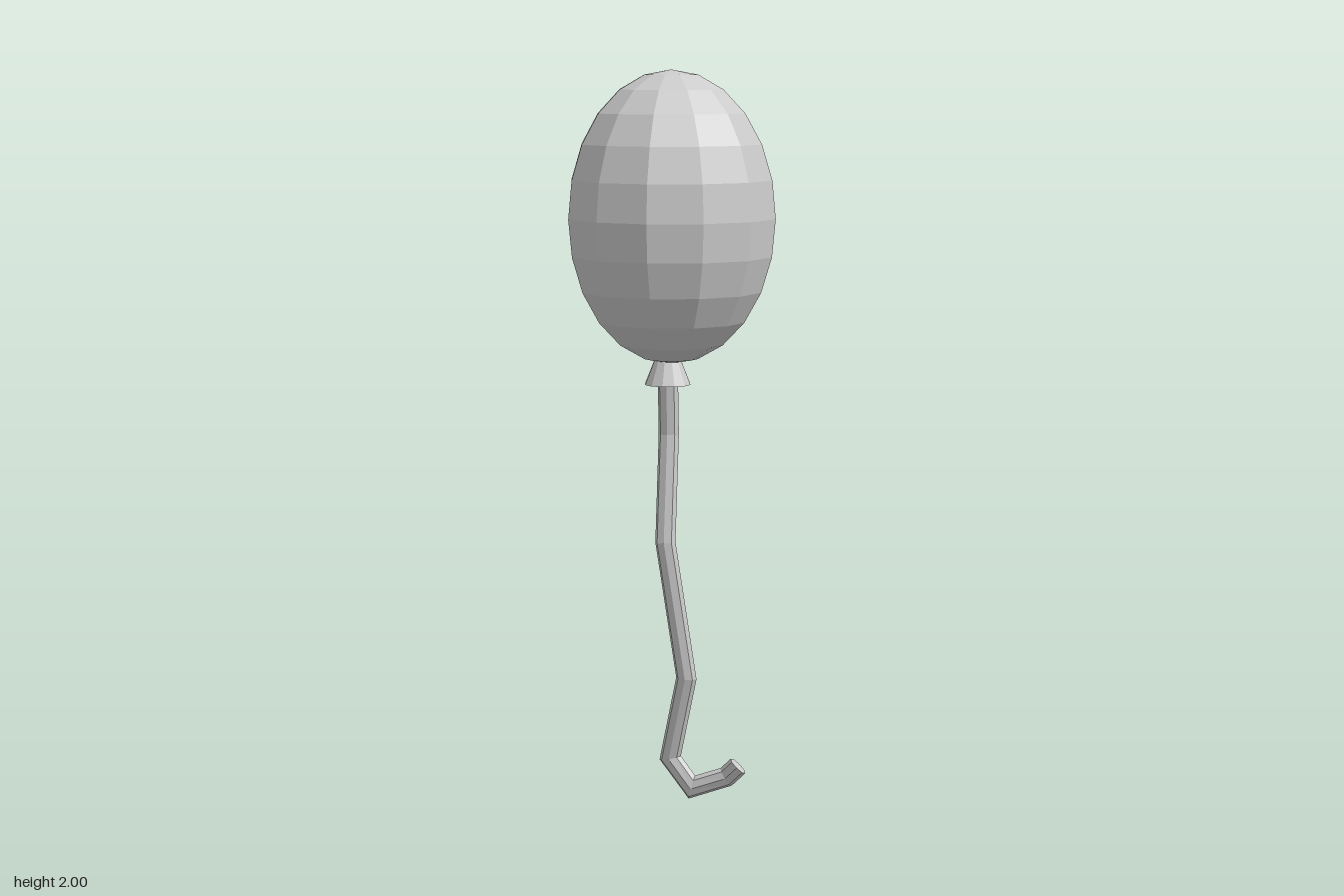
import * as THREE from 'three';

const material = new THREE.MeshStandardMaterial({ color: 0xcccccc, flatShading: true });

// Mitred tube along straight segments: oval section, wide across the path in xy, narrow in z
function makeString(path, halfWidth, halfDepth, sides) {
  const pts = path.map(p => new THREE.Vector3(...p));
  const last = pts.length - 1;
  const flatDir = (a, b) => new THREE.Vector3(b.x - a.x, b.y - a.y, 0).normalize();
  const positions = [], index = [];
  pts.forEach((p, i) => {
    const before = flatDir(pts[Math.max(i - 1, 0)], pts[Math.max(i, 1)]);
    const after = flatDir(pts[Math.min(i, last - 1)], pts[Math.min(i + 1, last)]);
    const t = before.clone().add(after).normalize();
    const w = halfWidth / t.dot(after);
    for (let j = 0; j < sides; j++) {
      const a = (j / sides) * Math.PI * 2;
      const c = Math.cos(a) * w;
      positions.push(p.x - t.y * c, p.y + t.x * c, p.z + Math.sin(a) * halfDepth);
    }
  });
  for (let i = 0; i < last; i++) {
    for (let j = 0; j < sides; j++) {
      const k = (j + 1) % sides;
      const a = i * sides + j, b = i * sides + k;
      index.push(a, b, b + sides, a, b + sides, a + sides);
    }
  }
  // End caps
  const end = last * sides;
  for (let j = 1; j < sides - 1; j++) {
    index.push(0, j + 1, j, end, end + j, end + j + 1);
  }
  const geometry = new THREE.BufferGeometry();
  geometry.setAttribute('position', new THREE.Float32BufferAttribute(positions, 3));
  geometry.setIndex(index);
  geometry.computeVertexNormals();
  return geometry;
}

export function createModel() {
  const group = new THREE.Group();
  const add = (name, geometry) => {
    const mesh = new THREE.Mesh(geometry, material);
    mesh.name = name;
    group.add(mesh);
    return mesh;
  };

  // Faceted egg-like body
  const body = add('balloonBody', new THREE.SphereGeometry(1, 12, 12));
  body.scale.set(0.283, 0.39, 0.283);
  body.position.y = 1.61;

  // Flared neck under the body
  const neck = add('neck', new THREE.CylinderGeometry(0.033, 0.063, 0.075, 12));
  neck.position.set(-0.01, 1.2, -0.003);

  // Kinked string ending in a small hook
  add('string', makeString([
    [-0.01, 1.2, -0.003],
    [-0.01, 1.025, -0.015],
    [-0.01, 0.735, 0.026],
    [0.045, 0.355, 0.01],
    [-0.01, 0.115, -0.032],
    [0.053, 0.036, -0.026],
    [0.151, 0.074, -0.02],
    [0.188, 0.113, 0],
  ], 0.028, 0.02, 8));

  return group;
}
